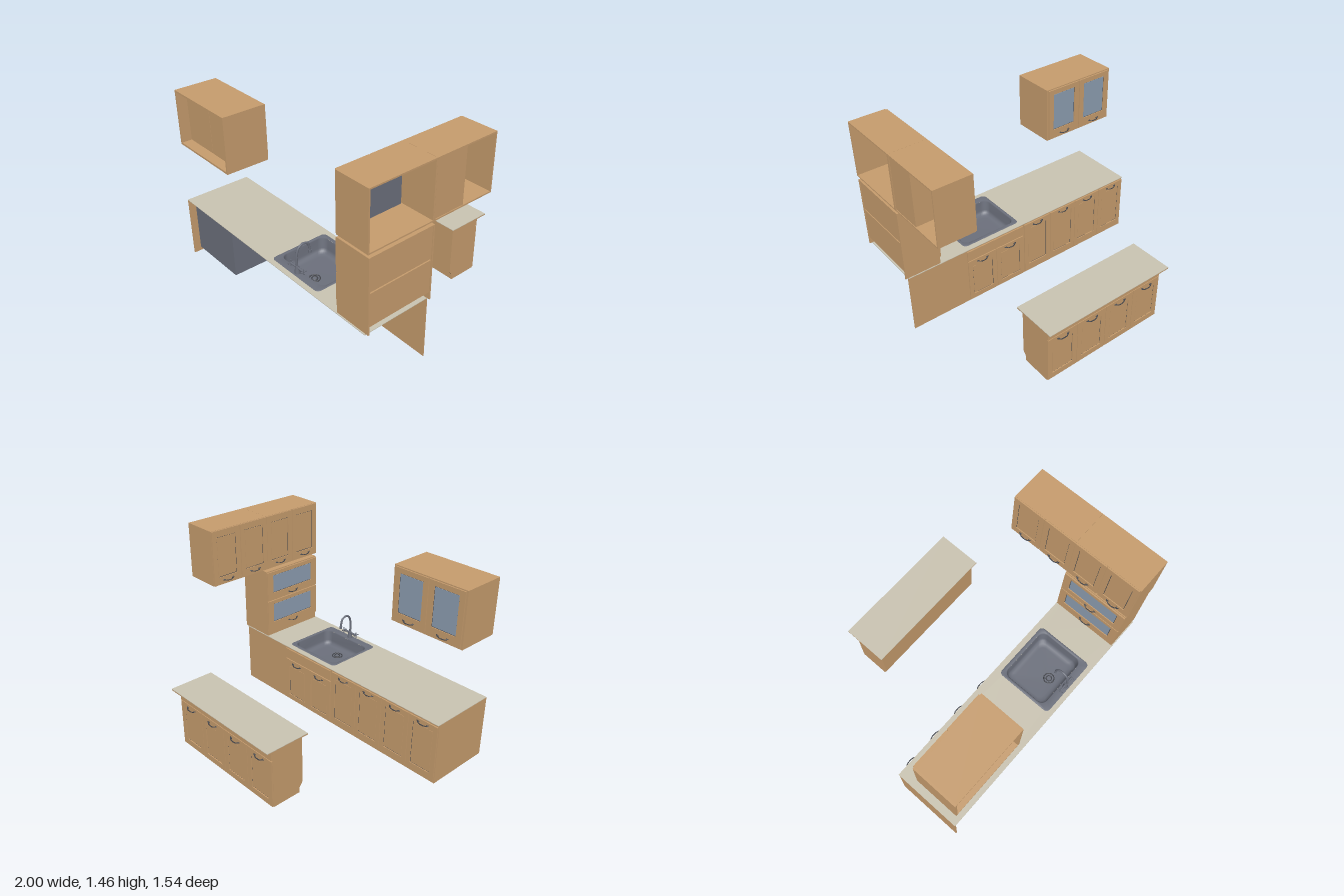
import * as THREE from 'three';

const mat = (name, color, side = THREE.FrontSide) => {
  const m = new THREE.MeshStandardMaterial({ color, side });
  m.name = name;
  return m;
};

export function createModel() {
  const root = new THREE.Group();
  root.name = 'kitchen';
  const wood = mat('wood', 0xc69c6d, THREE.DoubleSide);
  const stone = mat('worktopStone', 0xc9c3b1, THREE.DoubleSide);
  const steel = mat('steel', 0x6b6f7b, THREE.DoubleSide);
  const glass = mat('glass', 0x8c9db0);
  const dark = mat('darkMetal', 0x45474d);

  const add = (parent, name, geo, m) => {
    const mesh = new THREE.Mesh(geo, m);
    mesh.name = name;
    parent.add(mesh);
    return mesh;
  };
  const group = (name, parent = root) => {
    const g = new THREE.Group();
    g.name = name;
    parent.add(g);
    return g;
  };
  // Box given by its two opposite corners
  const box = (parent, name, a, b, m = wood) => {
    const mesh = add(parent, name, new THREE.BoxGeometry(b[0] - a[0], b[1] - a[1], b[2] - a[2]), m);
    mesh.position.set((a[0] + b[0]) / 2, (a[1] + b[1]) / 2, (a[2] + b[2]) / 2);
    return mesh;
  };
  // Cabinet carcass of thin panels; sides picks which of the six are present
  const carcass = (name, a, b, sides, t = 0.01) => {
    const g = group(name);
    for (const s of sides.split(' ')) {
      const i = 'xyz'.indexOf(s[1]);
      const lo = [...a], hi = [...b];
      if (s[0] === '+') lo[i] = b[i] - t; else hi[i] = a[i] + t;
      box(g, 'panel', lo, hi);
    }
    return g;
  };
  const rect = (path, x0, y0, x1, y1) => {
    path.moveTo(x0, y0); path.lineTo(x1, y0); path.lineTo(x1, y1); path.lineTo(x0, y1);
    path.closePath();
    return path;
  };
  // Flat sheet with rectangular holes, lying in the xy plane
  const sheet = (outer, holes, depth) => {
    const s = rect(new THREE.Shape(), ...outer);
    for (const h of holes) s.holes.push(rect(new THREE.Path(), ...h));
    return new THREE.ExtrudeGeometry(s, { depth, bevelEnabled: false });
  };

  // Bow handle, along x and standing out in +z
  const bow = new THREE.CatmullRomCurve3([
    [-0.05, 0.004, 0], [-0.038, 0, 0.008], [-0.02, -0.004, 0.015],
    [0.02, -0.004, 0.015], [0.038, 0, 0.008], [0.05, 0.004, 0],
  ].map(p => new THREE.Vector3(...p)));
  const bowGeo = new THREE.TubeGeometry(bow, 16, 0.0035, 6);
  const footGeo = new THREE.SphereGeometry(0.006, 8, 6);

  // Framed door with an inset panel and a handle.
  // facing: '-z' or '-x'; u: centre along the wall; plane: wall position
  const door = (parent, facing, u, plane, y0, y1, w, hole, handleY, fill = wood) => {
    const g = group('door', parent);
    const hw = w / 2 - 0.002;
    const [hx, b0, b1] = hole;
    add(g, 'doorFrame', sheet([-hw, y0, hw, y1], [[-hx, b0, hx, b1]], 0.01), wood);
    box(g, 'doorInset', [-hx + 0.005, b0 + 0.005, 0.001], [hx - 0.005, b1 - 0.005, 0.006], fill);
    // shadow gap round the inset
    add(g, 'insetGroove', sheet([-hx, b0, hx, b1],
      [[-hx + 0.005, b0 + 0.005, hx - 0.005, b1 - 0.005]], 0.003), dark);
    const handle = group('handle', g);
    handle.position.set(0, handleY, 0.01);
    add(handle, 'handleBow', bowGeo, dark);
    for (const s of [-1, 1]) add(handle, 'handleFoot', footGeo, dark).position.set(s * 0.036, 0, 0.002);
    if (facing === '-z') { g.rotation.y = Math.PI; g.position.set(u, 0, plane); }
    else { g.rotation.y = -Math.PI / 2; g.position.set(plane, 0, u); }
  };

  // Main base run: front sheet, end panel and doors
  const base = carcass('baseRun', [-1, 0, 0.25], [0.98, 0.47, 0.765], '-x');
  add(base, 'frontSheet', sheet([-1, 0, 0.98, 0.472],
    [[-0.46, 0.07, -0.285, 0.41], [-0.215, 0.07, -0.04, 0.41]], 0.006), wood).position.z = 0.25;
  for (let i = 0; i < 4; i++)
    door(base, '-z', -0.873 + i * 0.249, 0.25, 0.01, 0.455, 0.249, [0.0875, 0.07, 0.41], 0.432);
  for (const x of [0.133, 0.382])
    door(base, '-z', x, 0.25, 0.01, 0.365, 0.249, [0.0875, 0.05, 0.31], 0.34);
  box(base, 'sinkFascia', [0.01, 0.372, 0.24], [0.505, 0.455, 0.25]);
  box(base, 'applianceBox', [-0.99, 0.03, 0.257], [-0.5, 0.452, 0.71], steel);
  box(base, 'sinkBackPlate', [0.01, 0.03, 0.257], [0.5, 0.362, 0.265], steel);

  // Worktop with the sink cut-out
  const top = add(root, 'worktop', sheet([-1, -0.765, 0.98, -0.24], [[0.04, -0.67, 0.48, -0.31]], 0.004), stone);
  top.rotation.x = -Math.PI / 2;
  top.position.y = 0.471;

  // Sink: rounded rectangle rings joined from rim to floor
  const sink = group('sink');
  sink.position.set(0.26, 0, 0.49);
  const ring = (hw, hd, r, dz = 0) => {
    const pts = [];
    [[1, 1], [-1, 1], [-1, -1], [1, -1]].forEach(([sx, sz], q) => {
      for (let k = 0; k <= 6; k++) {
        const t = (q + k / 6) * Math.PI / 2;
        pts.push([sx * (hw - r) + r * Math.cos(t), dz + sz * (hd - r) + r * Math.sin(t)]);
      }
    });
    return pts;
  };
  const levels = [
    [0.476, ring(0.24, 0.223, 0.03, 0.015)], [0.48, ring(0.236, 0.219, 0.03, 0.015)],
    [0.48, ring(0.222, 0.184, 0.05)], [0.472, ring(0.216, 0.178, 0.05)],
    [0.4, ring(0.212, 0.174, 0.05)], [0.38, ring(0.205, 0.167, 0.05)],
    [0.368, ring(0.188, 0.15, 0.045)], [0.365, ring(0.165, 0.127, 0.04)],
    [0.363, ring(0.001, 0.001, 0.0005, 0.07)],
  ];
  const pos = [], idx = [], n = 28;
  levels.forEach(([y, pts], j) => pts.forEach(([x, z], i) => {
    pos.push(x, y, z);
    if (j === levels.length - 1) return;
    const a = j * n + i, b = j * n + (i + 1) % n;
    idx.push(a, a + n, b, b, a + n, b + n);
  }));
  const bowl = new THREE.BufferGeometry();
  bowl.setAttribute('position', new THREE.Float32BufferAttribute(pos, 3));
  bowl.setIndex(idx);
  bowl.computeVertexNormals();
  add(sink, 'sinkBowl', bowl, steel);
  add(sink, 'drainPipe', new THREE.CylinderGeometry(0.036, 0.036, 0.072, 24), steel).position.set(0, 0.328, 0.072);
  for (const r of [0.038, 0.02]) {
    const t = add(sink, 'drainRing', new THREE.TorusGeometry(r, 0.004, 8, 24), dark);
    t.rotation.x = Math.PI / 2;
    t.position.set(0, 0.367, 0.072);
  }

  // Tap with arched spout and two cross handles
  const tap = group('tap');
  tap.position.set(0.26, 0.478, 0.7);
  add(tap, 'tapBase', new THREE.CylinderGeometry(0.012, 0.02, 0.06, 16), steel).position.y = 0.03;
  const spout = new THREE.CatmullRomCurve3([[0, 0.03, 0], [0, 0.14, 0], [0, 0.185, -0.015], [0, 0.205, -0.05],
    [0, 0.19, -0.09], [0, 0.15, -0.103], [0, 0.125, -0.105]].map(p => new THREE.Vector3(...p)));
  add(tap, 'spout', new THREE.TubeGeometry(spout, 32, 0.008, 10), steel);
  add(tap, 'spoutTip', new THREE.CylinderGeometry(0.011, 0.011, 0.02, 12), steel).position.set(0, 0.125, -0.105);
  const bar = add(tap, 'tapBar', new THREE.CylinderGeometry(0.008, 0.008, 0.13, 12), steel);
  bar.rotation.z = Math.PI / 2;
  bar.position.y = 0.045;
  for (const s of [-1, 1]) for (const turn of [0, Math.PI / 2]) {
    const c = add(tap, 'crossHandle', new THREE.CylinderGeometry(0.004, 0.004, 0.046, 8), steel);
    c.position.set(s * 0.066, 0.045, 0);
    c.rotation.x = turn;
  }

  // Tall unit standing on the worktop, open behind, with two oven-like boxes
  const tall = carcass('tallUnit', [0.725, 0.476, 0.245], [1, 1.02, 0.757], '-x -z +z +y');
  for (const [y0, y1] of [[0.53, 0.77], [0.78, 1.012]]) {
    box(tall, 'drawerBox', [0.736, y0, 0.256], [0.995, y1, 0.747]);
    door(tall, '-x', 0.501, 0.725, y0, y1, 0.512, [0.2, y0 + 0.055, y1 - 0.03], y0 + 0.022, glass);
  }

  // Two wall units above it, each with a pair of doors
  for (const z of [-0.245, 0.256]) {
    const u = carcass('wallUnit', [0.73, 1.045, z], [1, 1.46, z + (z < 0 ? 0.5 : 0.508)], '-x -z +z +y -y');
    for (const d of [0.125, 0.377])
      door(u, '-x', z + d, 0.73, 1.047, 1.458, 0.25, [0.085, 1.105, 1.41], 1.078);
    if (z < 0) box(u, 'innerBox', [0.742, 1.056, 0.008], [0.996, 1.449, 0.246]);
    else box(u, 'greyBack', [0.741, 1.056, 0.275], [0.748, 1.449, 0.752], steel);
  }

  // Glazed wall unit, open at the rear with a recessed back
  const glazed = carcass('glazedUnit', [-0.98, 0.952, 0.44], [-0.38, 1.365, 0.768], '-x +x -y +y -z', 0.014);
  for (const [x0, x1] of [[-0.966, -0.683], [-0.679, -0.394]])
    box(glazed, 'recessedBack', [x0, 0.966, 0.68], [x1, 1.351, 0.69]);
  for (const x of [-0.825, -0.535])
    door(glazed, '-z', x, 0.44, 0.96, 1.357, 0.288, [0.1, 1.03, 1.32], 0.99, glass);

  // Island: notched end panels, front and rear sheets, doors and top
  const island = group('island');
  const end = new THREE.Shape([[0.457, 0.455], [0.457, 0.075], [0.483, 0.04], [0.483, 0], [0.708, 0], [0.708, 0.455]]
    .map(p => new THREE.Vector2(...p)));
  const endGeo = new THREE.ExtrudeGeometry(end, { depth: 0.012, bevelEnabled: false });
  for (const x of [-0.45, 0.538]) {
    const e = add(island, 'endPanel', endGeo, wood);
    e.rotation.y = Math.PI / 2;
    e.position.x = x;
  }
  box(island, 'rearSheet', [-0.438, 0.075, -0.467], [0.538, 0.453, -0.458]);
  box(island, 'toeKick', [-0.438, 0, -0.492], [0.538, 0.08, -0.484]);
  box(island, 'frontSheet', [-0.45, 0, -0.708], [0.55, 0.453, -0.7]);
  box(island, 'drawerFascia', [-0.448, 0.372, -0.718], [0.548, 0.45, -0.708]);
  for (let i = 0; i < 4; i++)
    door(island, '-z', -0.325 + i * 0.25, -0.708, 0.005, 0.366, 0.25, [0.085, 0.05, 0.31], 0.34);
  box(island, 'topUnderside', [-0.47, 0.453, -0.765], [0.57, 0.456, -0.435], steel);
  box(island, 'topEdge', [-0.475, 0.456, -0.77], [0.575, 0.463, -0.43]);
  box(island, 'islandTop', [-0.475, 0.463, -0.77], [0.575, 0.467, -0.43], stone);

  return root;
}
